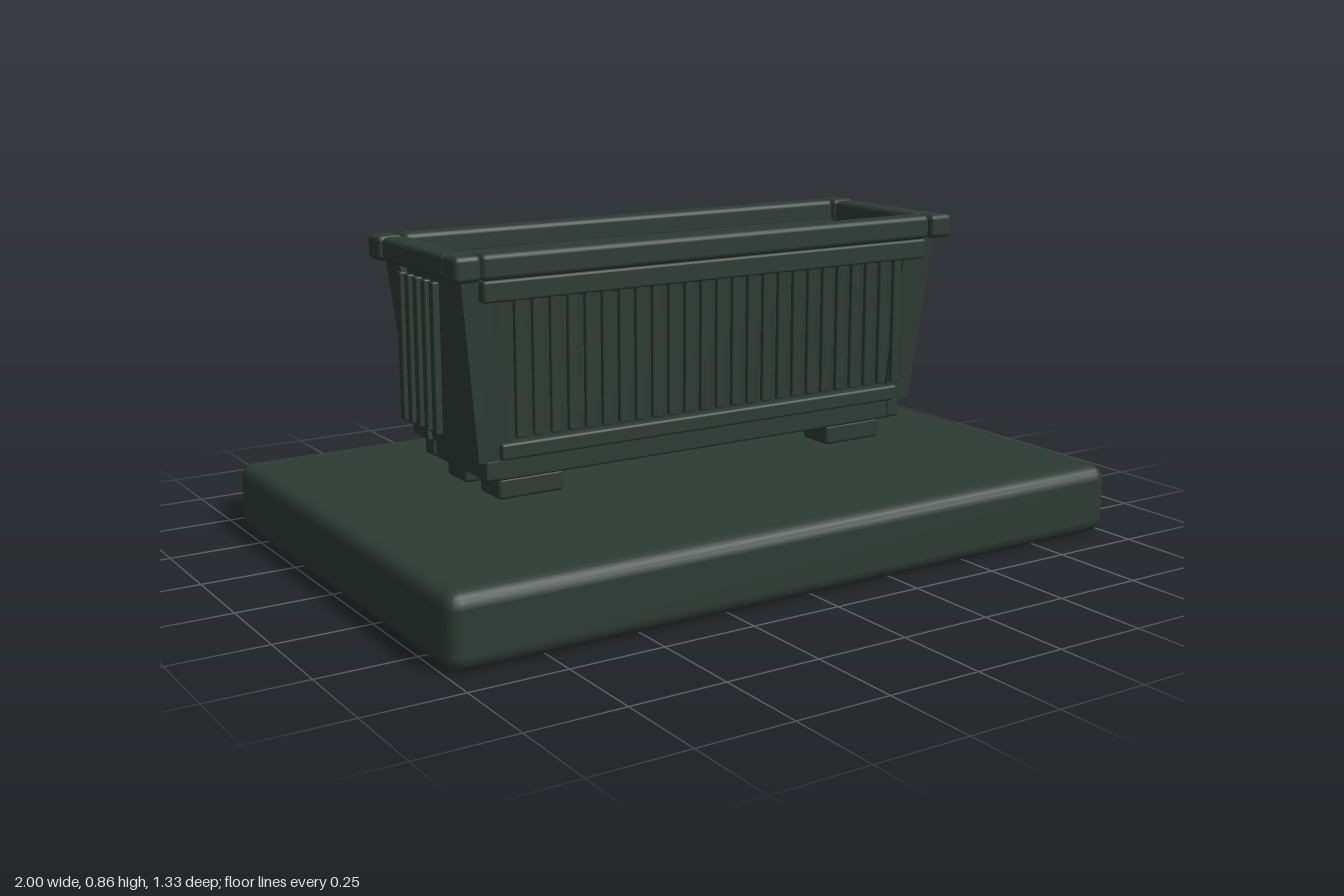
import * as THREE from 'three';
import { RoundedBoxGeometry } from 'three/addons/geometries/RoundedBoxGeometry.js';

export function createModel() {
  const model = new THREE.Group();
  model.name = 'planterOnSlab';
  const green = new THREE.MeshStandardMaterial({ color: 0x2d3b35 });
  green.name = 'dark green';
  const teal = new THREE.MeshStandardMaterial({ color: 0x0d2428 });
  teal.name = 'dark teal';

  function add(name, geometry, material = green) {
    const mesh = new THREE.Mesh(geometry, material);
    mesh.name = name;
    model.add(mesh);
    return mesh;
  }

  // Rounded block between two limits on each axis
  function block(name, [xa, xb], [ya, yb], [za, zb], radius = 0.008) {
    const w = Math.abs(xb - xa), h = yb - ya, d = Math.abs(zb - za);
    const r = Math.min(radius, w * 0.45, h * 0.45, d * 0.45);
    add(name, new RoundedBoxGeometry(w, h, d, 2, r))
      .position.set((xa + xb) / 2, (ya + yb) / 2, (za + zb) / 2);
  }

  // Straight-sided block whose x and z limits differ at top and bottom
  function taper(name, [ya, yb], bottom, top) {
    const g = new THREE.BoxGeometry(1, 1, 1);
    const p = g.attributes.position;
    for (let i = 0; i < p.count; i++) {
      const up = p.getY(i) > 0;
      const { x, z } = up ? top : bottom;
      const xs = [...x].sort((a, b) => a - b), zs = [...z].sort((a, b) => a - b);
      p.setXYZ(i, xs[p.getX(i) > 0 ? 1 : 0], up ? yb : ya, zs[p.getZ(i) > 0 ? 1 : 0]);
    }
    g.computeVertexNormals();
    add(name, g);
  }

  const both = (s, a, b) => [s * a, s * b];

  // Base slab
  block('baseSlab', [-1, 1], [0, 0.19], [-0.665, 0.665], 0.04);

  // Planter floor and its inner lining
  block('planterBottom', [-0.64, 0.64], [0.29, 0.335], [-0.165, 0.165]);
  const lining = add('floorLining', new THREE.BoxGeometry(1.31, 0.008, 0.33), teal);
  lining.position.y = 0.341;

  for (const s of [-1, 1]) {
    // Sloping walls
    taper('longWall', [0.33, 0.8],
      { x: [-0.66, 0.66], z: both(s, 0.165, 0.18) },
      { x: [-0.7, 0.7], z: both(s, 0.185, 0.202) });
    taper('endWall', [0.33, 0.8],
      { x: both(s, 0.655, 0.669), z: [-0.17, 0.17] },
      { x: both(s, 0.69, 0.716), z: [-0.19, 0.19] });

    // Rim bars
    block('longRim', [-0.69, 0.69], [0.79, 0.855], both(s, 0.185, 0.25), 0.014);
    block('endRim', both(s, 0.69, 0.76), [0.79, 0.853], [-0.18, 0.18], 0.014);

    // Trim strips and plinth
    block('upperTrim', [-0.685, 0.685], [0.735, 0.79], both(s, 0.2, 0.243));
    block('lowerTrim', [-0.625, 0.625], [0.332, 0.375], both(s, 0.165, 0.206));
    block('longPlinth', [-0.63, 0.63], [0.272, 0.334], both(s, 0.13, 0.173));
    block('endPlinth', both(s, 0.6, 0.648), [0.272, 0.332], [-0.13, 0.13]);

    // Vertical slats standing off the walls
    for (let i = -12; i <= 12; i++) {
      const x = i * 0.049;
      block('longSlat', [x - 0.013, x + 0.013], [0.395, 0.775], both(s, 0.225, 0.24), 0.004);
    }
    for (let i = -2; i <= 2; i++) {
      const z = i * 0.047;
      block('endSlat', both(s, 0.735, 0.754), [0.395, 0.775], [z - 0.012, z + 0.012], 0.004);
    }

    // Corner pieces and feet
    for (const t of [-1, 1]) {
      taper('cornerPost', [0.33, 0.79],
        { x: both(s, 0.595, 0.68), z: both(t, 0.1, 0.188) },
        { x: both(s, 0.635, 0.732), z: both(t, 0.13, 0.216) });
      block('rimCorner', both(s, 0.693, 0.765), [0.79, 0.855], both(t, 0.182, 0.256), 0.014);
      block('plinthCorner', both(s, 0.615, 0.656), [0.276, 0.332], both(t, 0.125, 0.178));
      block('foot', both(s, 0.42, 0.607), [0.215, 0.272], both(t, 0.04, 0.15), 0.01);
    }
  }
  return model;
}
